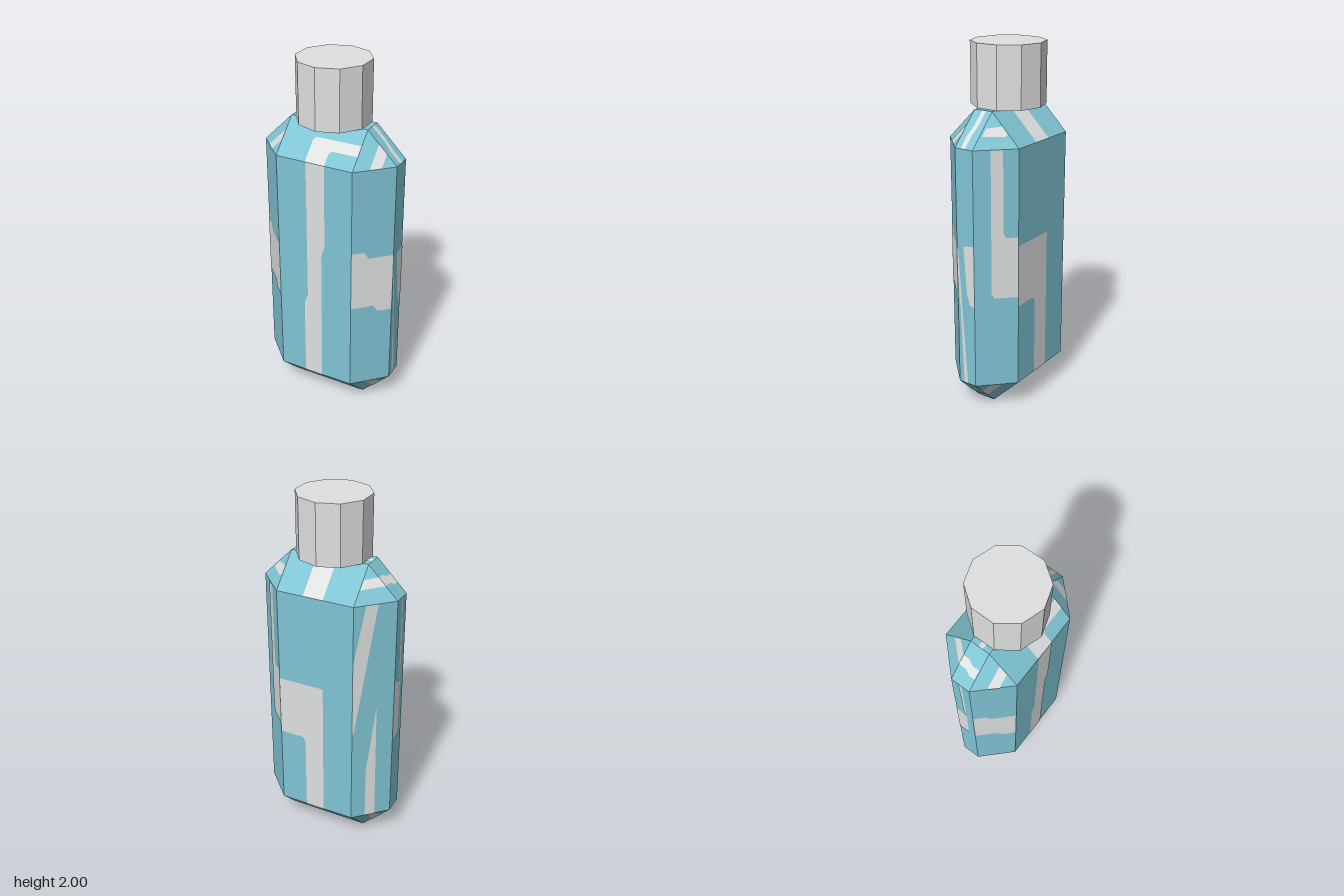
import * as THREE from 'three';
import { ConvexGeometry } from 'three/addons/geometries/ConvexGeometry.js';

// Bevelled body: outer half sizes X, Z; bevel C; inner half sizes xi, zi
const X = 0.388, Z = 0.222, C = 0.167, xi = X - C, zi = Z - C;
const H = 1.67, yLow = C, yHigh = H - C;

export function createModel() {
  const group = new THREE.Group();
  const teal = new THREE.MeshStandardMaterial({ color: 0x80c5d5 });
  teal.name = 'tealBody';
  const grey = new THREE.MeshStandardMaterial({ color: 0xdfe1e0 });
  grey.name = 'paleGrey';

  function add(name, geometry, material) {
    const mesh = new THREE.Mesh(geometry, material);
    mesh.name = name;
    group.add(mesh);
    return mesh;
  }

  // Body: box with every edge bevelled
  const corners = [];
  for (const sx of [-1, 1]) for (const sz of [-1, 1]) {
    for (const y of [yLow, yHigh]) {
      corners.push(new THREE.Vector3(sx * xi, y, sz * Z), new THREE.Vector3(sx * X, y, sz * zi));
    }
    for (const y of [0, H]) corners.push(new THREE.Vector3(sx * xi, y, sz * zi));
  }
  add('body', new ConvexGeometry(corners), teal);

  // Ten-sided cap
  const cap = new THREE.CylinderGeometry(0.2, 0.2, 2 - H, 10).toNonIndexed();
  cap.computeVertexNormals();
  add('cap', cap, grey).position.y = (2 + H) / 2;

  // Flat marking: a 2D outline laid on one face of the body, just above it
  const centre = new THREE.Vector3(0, H / 2, 0);
  function marking(name, place, outline) {
    const flat = outline.map(([a, b]) => new THREE.Vector2(a, b));
    const points = outline.map(([a, b]) => new THREE.Vector3(...place(a, b)));
    const faces = THREE.ShapeUtils.triangulateShape(flat, []);
    const [p, q, r] = faces[0].map((i) => points[i]);
    const normal = q.clone().sub(p).cross(r.clone().sub(p)).normalize();
    if (normal.dot(p.clone().sub(centre)) < 0) {
      normal.negate();
      faces.forEach((f) => f.reverse());
    }
    points.forEach((v) => v.addScaledVector(normal, 0.002));
    const geometry = new THREE.BufferGeometry().setFromPoints(faces.flat().map((i) => points[i]));
    geometry.computeVertexNormals();
    add(name, geometry, grey);
  }

  // Placement rules for the faces
  const front = (x, y) => [x, y, Z];
  const back = (x, y) => [x, y, -Z];
  const left = (z, y) => [X, y, z];
  const right = (z, y) => [-X, y, z];
  const bevelFront = (x, y) => [x, y, Z - (Math.abs(x) - xi)];
  const bevelBack = (x, y) => [x, y, -Z + (Math.abs(x) - xi)];
  const drop = (x, z) => Math.max(0, Math.abs(x) - xi) + Math.max(0, Math.abs(z) - zi);
  const top = (x, z) => [x, H - drop(x, z), z];
  const bottom = (x, z) => [x, drop(x, z), z];

  // Upright faces
  marking('frontStripe', front, [[-0.045, yHigh], [0.062, yHigh], [0.062, 1.03], [0.042, 0.97],
    [0.042, yLow], [-0.066, yLow], [-0.066, 0.64], [-0.045, 0.7]]);
  for (const start of [-X, xi]) {
    marking('frontBevelBand', bevelFront, [[0, 1.03], [0.05, 1.03], [0.068, 0.99], [C, 0.99],
      [C, 0.645], [0.11, 0.645], [0.09, 0.685], [0, 0.685]].map(([a, y]) => [start + a, y]));
  }
  marking('backStripe', back, [[xi, 0.98], [-0.045, 0.98], [-0.045, yLow], [0.066, yLow],
    [0.066, 0.6], [0.08, 0.635], [xi, 0.635]]);
  const fromZ = (z) => xi + Z - Math.abs(z);
  marking('backLeftBevelStripe', bevelBack, [[-0.12, 1.5], [-0.165, 1.5], [-0.165, 1.06], [-0.175, 1.03],
    [-Z, 1.03], [-Z, 0.69], [-0.13, 0.69], [-0.12, 0.72]].map(([z, y]) => [fromZ(z), y]));
  const across = (u) => -xi - u * C;
  marking('backRightBevelUpperStripe', bevelBack, [[0.28, yHigh], [0.56, yHigh], [0.03, 0.74],
    [0, 0.74], [0, 1.17]].map(([u, y]) => [across(u), y]));
  marking('backRightBevelLowerStripe', bevelBack, [[0.58, 0.9], [0.6, yLow], [0.35, yLow],
    [0.35, 0.48]].map(([u, y]) => [across(u), y]));
  marking('leftStripe', left, [[zi, 0.97], [0.046, 0.94], [0.025, 0.6], [-0.004, yLow],
    [0.02, yLow], [0.037, 0.6], [zi, 0.85]]);
  marking('leftPatch', left, [[0.012, 0.98], [-zi, 0.99], [-zi, 0.64], [-0.025, 0.65], [-0.008, 0.71]]);
  marking('rightPatch', right, [[-zi, 1.03], [0.015, 1.0], [0.01, 0.68], [-zi, 0.66]]);
  marking('rightStripe', right, [[-0.01, yHigh], [0.008, yHigh], [0.015, 1.03], [0, 1.03]]);

  // Shoulder
  marking('frontShoulderStripe', top, [[-0.05, Z], [0.062, Z], [0.062, 0.175], [0.075, 0.163],
    [xi, 0.163], [xi, 0.12], [-0.035, 0.12], [-0.05, 0.135]]);
  marking('backShoulderStripe', top, [[-0.048, -Z], [0.066, -Z], [0.066, -zi], [-0.048, -zi]]);
  marking('topPatch', top, [[-xi, -0.01], [-0.18, -0.01], [-0.18, 0.016], [-xi, 0.016]]);
  marking('leftShoulderStripe', top, [[xi, -0.02], [0.28, -0.02], [0.33, -0.01], [X, -0.01],
    [X, 0.018], [0.33, 0.018], [0.29, 0.006], [xi, 0.006]]);
  marking('rightShoulderStripe', top, [[-0.335, 0.05], [-0.295, 0.05], [-0.295, 0.01], [-0.28, -0.02],
    [-0.28, -zi], [-0.32, -zi], [-0.32, -0.01], [-0.335, 0.02]]);
  marking('backRightShoulderCorner', top, [[-0.32, -zi], [-0.28, -zi], [-0.223, -0.115], [-0.223, -0.155]]);
  marking('backLeftShoulderCorner', top, [[0.223, -0.155], [0.24, -0.15], [0.32, -0.065],
    [0.285, -0.065], [0.223, -0.12]]);
  marking('frontRightShoulderCorner', top, [[-0.325, 0.117], [-0.223, 0.117], [-0.223, 0.16], [-0.285, 0.16]]);
  marking('frontLeftShoulderCorner', top, [[0.285, zi], [0.33, zi], [0.33, 0.113], [0.285, 0.157]]);

  // Base
  for (const s of [-1, 1]) {
    marking('baseBar', bottom, [[-xi, s * 0.14], [-0.19, s * 0.16], [0, s * 0.157], [xi, s * 0.152],
      [xi, s * 0.115], [0, s * 0.118], [-0.19, s * 0.122]]);
    for (const t of [-1, 1]) {
      marking('baseCorner', bottom, [[s * 0.285, t * zi], [s * 0.33, t * zi],
        [s * 0.33, t * 0.113], [s * 0.285, t * 0.157]]);
    }
    marking('baseSideStripe', bottom, [[s * 0.285, zi], [s * 0.32, zi], [s * 0.225, -0.01], [s * 0.225, 0.018]]);
    marking('baseSideSpot', bottom, [[s * 0.285, -0.01], [s * 0.32, -0.005], [s * 0.32, -0.04], [s * 0.29, -0.045]]);
  }
  return group;
}
